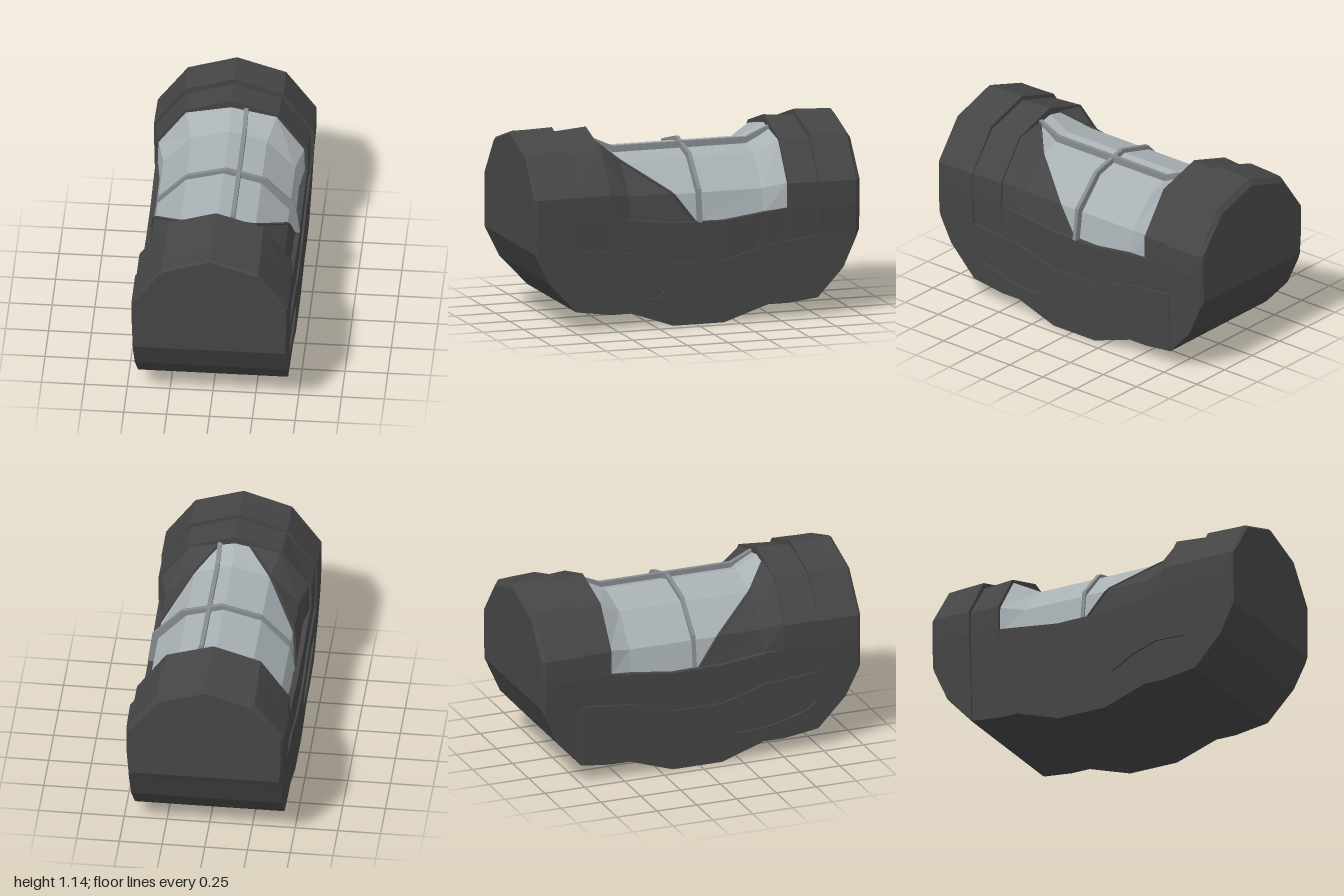
import * as THREE from 'three';

const shellMat = new THREE.MeshStandardMaterial({ name: 'charcoal shell', color: 0x454545, side: THREE.DoubleSide, flatShading: true });
const glassMat = new THREE.MeshStandardMaterial({ name: 'pale glass', color: 0xa9b1b5, flatShading: true });
const ribMat = new THREE.MeshStandardMaterial({ name: 'grey rib', color: 0x858b8e, flatShading: true });

function fromTriangles(points) {
  const g = new THREE.BufferGeometry();
  g.setAttribute('position', new THREE.Float32BufferAttribute(points.flat(), 3));
  g.computeVertexNormals();
  return g;
}

// Symmetric closed loft; each section is [z, half outline from bottom to the x = 0 ridge], front to back
function loft(sections) {
  const rings = sections.map(([z, half]) => {
    const left = half.slice(0, -1).reverse().map(([x, y]) => [-x, y]);
    return [...half, ...left].map(([x, y]) => [x, y, z]);
  });
  const n = rings[0].length, top = sections[0][1].length - 1, tris = [];
  for (let i = 0; i < rings.length - 1; i++) {
    for (let j = 0; j < n; j++) {
      const k = (j + 1) % n;
      const a = rings[i][j], b = rings[i][k], c = rings[i + 1][k], d = rings[i + 1][j];
      tris.push(a, d, c, a, c, b);
    }
  }
  const first = rings[0], last = rings[rings.length - 1];
  for (let s = 1; s < n - 1; s++) {
    const j = (top + s) % n, k = (top + s + 1) % n;
    tris.push(first[top], first[j], first[k], last[top], last[k], last[j]);
  }
  return fromTriangles(tris);
}

// Extrude a (z, y) outline along x, from x0 - depth to x0
function sideExtrude(shape, x0, depth) {
  const g = new THREE.ExtrudeGeometry(shape, { depth, bevelEnabled: false });
  g.rotateY(-Math.PI / 2);
  g.translate(x0, 0, 0);
  return g;
}

const toShape = (pts) => new THREE.Shape(pts.map(([x, y]) => new THREE.Vector2(x, y)));

export function createModel() {
  const model = new THREE.Group();
  model.name = 'canopyPod';
  const add = (name, geometry, material) => {
    const mesh = new THREE.Mesh(geometry, material);
    mesh.name = name;
    model.add(mesh);
    return mesh;
  };

  // Stations along the hull: z, keel height, shell edge height, sill height
  const hull = [
    [0.74, 0.12, 0.48, 0.65], [0.53, 0.09, 0.46, 0.65], [0.40, 0.09, 0.45, 0.64], [0.14, 0, 0.37, 0.61],
    [-0.17, 0, 0.37, 0.605], [-0.44, 0.09, 0.45, 0.64], [-0.56, 0.09, 0.46, 0.655], [-0.74, 0.11, 0.48, 0.655],
  ];

  // Inner hull up to the sill
  add('innerHull', loft(hull.map(([z, b, , s]) => [z, [[0.42 + 0.03 * b, b], [0.442, s], [0, s]]])), shellMat);

  // Arched end caps
  const capSection = (z, b, w, top, k = 1) => [z, [
    [(0.434 + 0.03 * b) * k, b], [Math.max(0.449 * k, 0), Math.max(0.48, b)], [w * k, 0.65], [w * k, 0.80],
    [w * 0.62 * k, (top - 0.09) * (k + 1) / 2], [0, top * (k + 1) / 2],
  ]];
  add('frontCap', loft([
    capSection(1, 0.48, 0.453, 1.125, 0.985), capSection(0.985, 0.45, 0.455, 1.13),
    capSection(0.91, 0.30, 0.455, 1.13), capSection(0.74, 0.12, 0.455, 1.135),
  ]), shellMat);
  add('rearCap', loft([
    capSection(-0.745, 0.11, 0.466, 1.145), capSection(-0.90, 0.28, 0.464, 1.138),
    capSection(-0.975, 0.45, 0.462, 1.133), capSection(-1, 0.50, 0.46, 1.12, 0.965),
  ]), shellMat);

  // Smaller arched collars around the canopy ends
  const collarSection = (z, b, top) => [z, [
    [0.42 + 0.03 * b, b], [0.436, 0.48], [0.447, 0.65], [0.447, 0.80], [0.277, top - 0.085], [0, top],
  ]];
  add('frontCollar', loft([collarSection(0.74, 0.12, 1.108), collarSection(0.53, 0.09, 1.125)]), shellMat);
  add('rearCollar', loft([collarSection(-0.56, 0.09, 1.125), collarSection(-0.745, 0.11, 1.11)]), shellMat);

  // Raised side shells with a recessed vent, leaning outward with height
  const sideShape = toShape([...hull.map(([z, b]) => [z, b]), ...hull.map(([z, , e]) => [z, e]).reverse()]);
  sideShape.holes.push(new THREE.Path([
    [0.72, 0.295], [0.66, 0.345], [0.48, 0.35], [0.32, 0.295], [0.19, 0.22], [0.24, 0.17], [0.37, 0.17], [0.53, 0.20], [0.68, 0.25],
  ].map(([z, y]) => new THREE.Vector2(z, y))));
  for (const side of [1, -1]) {
    const depth = 0.03;
    const g = sideExtrude(sideShape, side > 0 ? 0.434 : -0.434 + depth, depth);
    const p = g.attributes.position;
    for (let i = 0; i < p.count; i++) p.setX(i, p.getX(i) + side * 0.03 * p.getY(i));
    g.computeVertexNormals();
    add(side > 0 ? 'leftSideShell' : 'rightSideShell', g, shellMat);
  }

  // Faceted canopy, flared at both ends
  const flare = [[0.43, 0.64], [0.425, 0.80], [0.265, 1.025], [0, 1.08]];
  const waist = (s) => [[0.41, s], [0.385, 0.77], [0.22, 0.95], [0, 1.01]];
  add('canopy', loft([
    [0.53, flare], [0.40, waist(0.62)], [0, waist(0.59)], [-0.42, waist(0.62)], [-0.56, flare],
  ]), glassMat);

  // Dark cowl panels over the front corners of the canopy, with a rim along the edge
  for (const side of [1, -1]) {
    const at = (x, y, z) => [side * x * 1.015, 0.5 + (y - 0.5) * 1.015, z];
    const A = at(0.41, 0.60, 0), P = at(0.385, 0.77, 0.13), D = at(0.22, 0.95, 0.40), H = at(0.09, 1.061, 0.53);
    const B = at(0.41, 0.62, 0.40), C = at(0.385, 0.77, 0.40);
    const E = at(0.43, 0.64, 0.53), F = at(0.425, 0.80, 0.53), G = at(0.265, 1.025, 0.53);
    const faces = [[A, P, C], [A, C, B], [P, D, C], [B, C, F], [B, F, E], [C, D, G], [C, G, F], [D, H, G]];
    const name = side > 0 ? 'left' : 'right';
    const tris = faces.flatMap(([a, b, c]) => (side > 0 ? [a, c, b] : [a, b, c]));
    add(name + 'Cowl', fromTriangles(tris), shellMat);
    const path = new THREE.CurvePath();
    const edge = [A, P, D, H].map((v) => new THREE.Vector3(...v));
    for (let i = 0; i < 3; i++) path.add(new THREE.LineCurve3(edge[i], edge[i + 1]));
    add(name + 'CowlRim', new THREE.TubeGeometry(path, 24, 0.009, 4), shellMat);
  }

  // Rib across the canopy
  const arch = (k, dx) => {
    const half = waist(0.605).map(([x, y]) => [x * k, y > 0.7 ? y + (k - 1) * 0.55 : y]);
    return [...half, ...half.slice(0, -1).reverse().map(([x, y]) => [-x, y])].map(([x, y]) => [x + dx, y]);
  };
  const crossShape = toShape([...arch(1.05, 0.015), ...arch(0.93, 0).reverse()]);
  const cross = new THREE.ExtrudeGeometry(crossShape, { depth: 0.024, bevelEnabled: false });
  cross.translate(0, 0, -0.035);
  add('crossRib', cross, ribMat);

  // Offset rib along the canopy
  const ribLine = [[0.53, 1.08], [0.40, 1.02], [-0.42, 1.02], [-0.56, 1.08]];
  const ribShape = toShape([...ribLine, ...ribLine.map(([z, y]) => [z, y - 0.06]).reverse()]);
  add('lengthRib', sideExtrude(ribShape, 0.1, 0.025), ribMat);

  return model;
}
